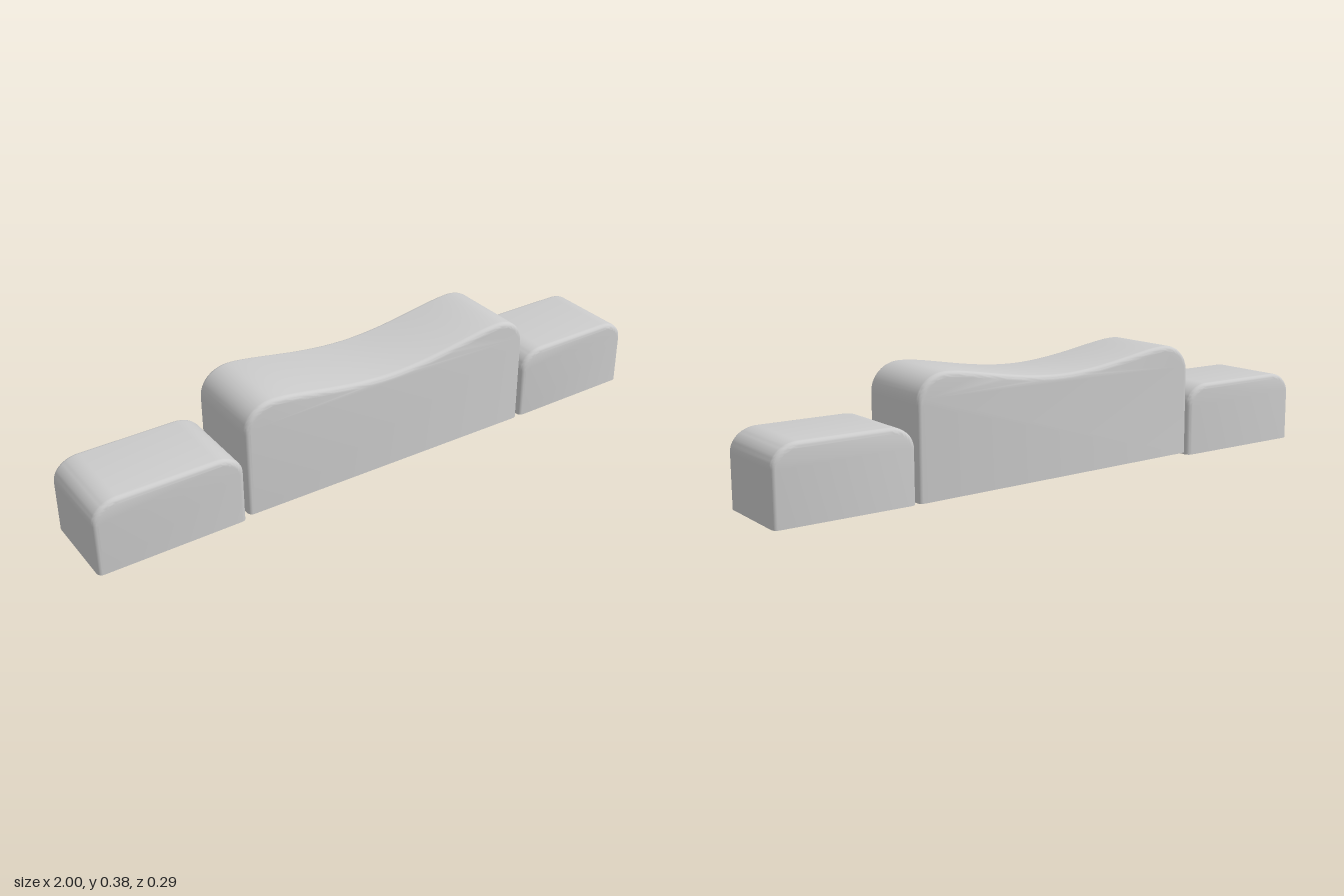
import * as THREE from 'three';
import { toCreasedNormals } from 'three/addons/utils/BufferGeometryUtils.js';

const DEPTH = 0.287;
const EDGE = 0.017;

// Extrudes a profile with rounded front and back edges, keeping the underside flat and sharp.
function block(name, shape, floor) {
  let geo = new THREE.ExtrudeGeometry(shape, {
    depth: DEPTH - 2 * EDGE, curveSegments: 14,
    bevelEnabled: true, bevelThickness: EDGE, bevelSize: EDGE, bevelOffset: -EDGE, bevelSegments: 5,
  });
  geo.translate(0, 0, EDGE - DEPTH / 2);
  const p = geo.attributes.position;
  for (let i = 0; i < p.count; i++) {
    if (p.getY(i) < 0.05) p.setY(i, floor(p.getX(i)));
  }
  geo = toCreasedNormals(geo, 0.6);
  const mesh = new THREE.Mesh(geo, new THREE.MeshStandardMaterial({ color: 0xcccccc }));
  mesh.name = name;
  return mesh;
}

// Low block with rounded upper corners
function lowProfile(x0, x1) {
  const h = 0.238, rx = 0.085, ry = 0.07, k = 0.45;
  const s = new THREE.Shape();
  s.moveTo(x0, 0);
  s.lineTo(x1, 0);
  s.lineTo(x1, h - ry);
  s.bezierCurveTo(x1, h - ry * k, x1 - rx * k, h, x1 - rx, h);
  s.lineTo(x0 + rx, h);
  s.bezierCurveTo(x0 + rx * k, h, x0, h - ry * k, x0, h - ry);
  s.closePath();
  return s;
}

// Tall block with a saddle-shaped top
function saddleProfile() {
  const s = new THREE.Shape();
  s.moveTo(-0.508, 0);
  s.lineTo(0.54, 0);
  s.lineTo(0.54, 0.29);
  s.bezierCurveTo(0.54, 0.345, 0.495, 0.382, 0.44, 0.382);
  s.bezierCurveTo(0.35, 0.382, 0.19, 0.332, 0.015, 0.332);
  s.bezierCurveTo(-0.16, 0.332, -0.32, 0.382, -0.408, 0.382);
  s.bezierCurveTo(-0.463, 0.382, -0.508, 0.345, -0.508, 0.29);
  s.closePath();
  return s;
}

export function createModel() {
  const group = new THREE.Group();
  group.name = 'saddleBench';
  group.add(
    block('rightEndBlock', lowProfile(-1, -0.517), () => 0),
    // The underside of the middle block tilts very slightly
    block('saddleBlock', saddleProfile(), (x) => 0.012 * (0.54 - x) / 1.048),
    block('leftEndBlock', lowProfile(0.55, 1), () => 0),
  );
  return group;
}
